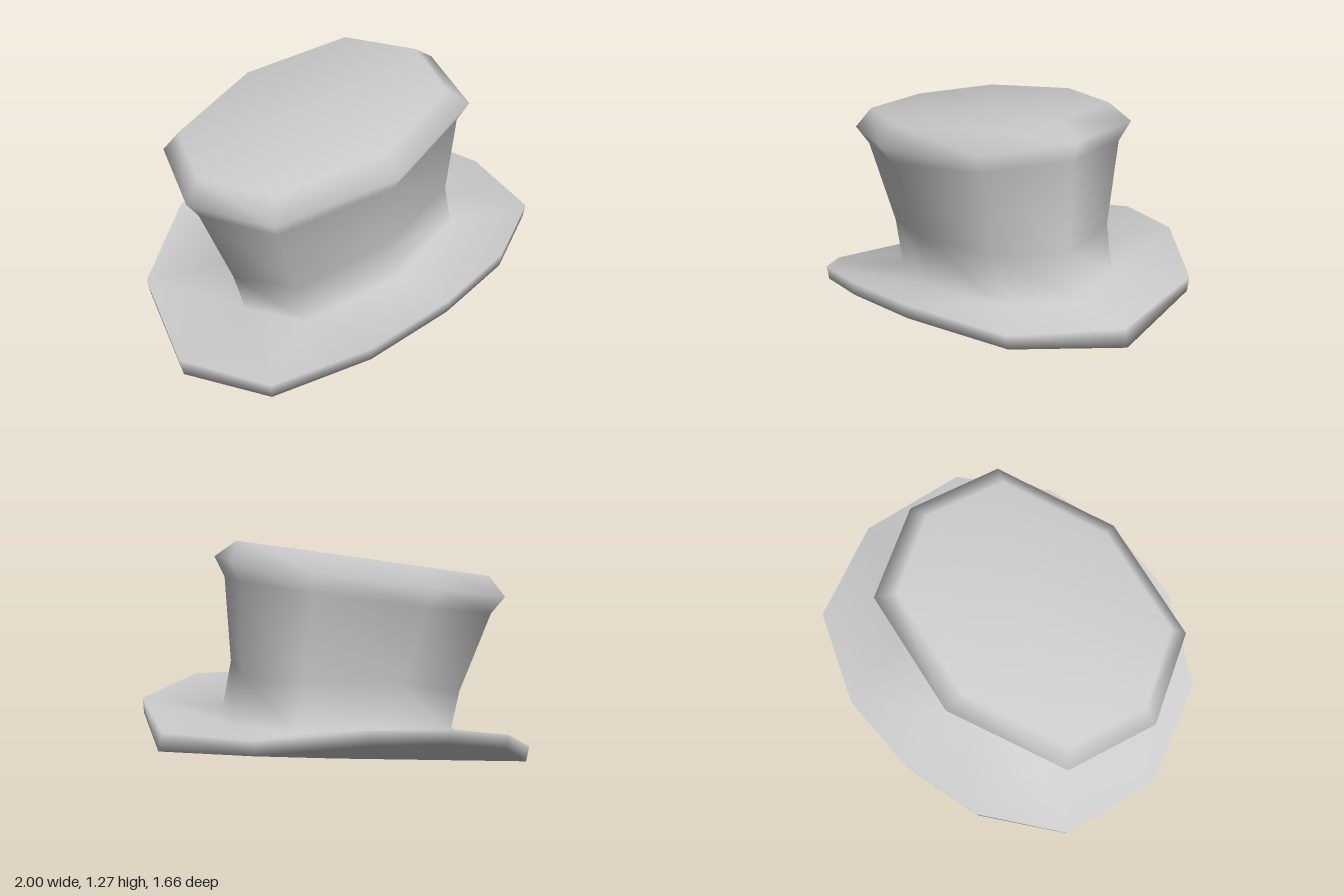
import * as THREE from 'three';

// Eight-sided crown ring: tilted sideways, optionally lifted at front and back
function crownRing(cx, rx, rz, y, lift = 0) {
  const unit = [[1, 0], [0.78, 0.72], [0, 1], [-0.78, 0.72], [-1, 0], [-0.78, -0.72], [0, -1], [0.78, -0.72]];
  return unit.map(([u, w]) => {
    const x = cx + rx * u;
    return [x, y + 0.173 * x + lift * w * w, rz * w];
  });
}

// Twelve-sided brim ring: half an outline mirrored front to back
function brimRing(half) {
  const back = half.slice(1, -1).reverse().map(([x, y, z]) => [x, y, -z]);
  return [...half, ...back];
}

export function createModel() {
  const group = new THREE.Group();
  group.name = 'topHat';
  const felt = new THREE.MeshStandardMaterial({ color: 0xcccccc });
  felt.name = 'grey felt';

  // Cross-sections from the crown top down to the underside
  const sections = [
    [[-0.165, 1.158, 0]],
    crownRing(-0.165, 0.655, 0.51, 1.187),
    crownRing(-0.145, 0.745, 0.6, 1.094),
    crownRing(-0.135, 0.695, 0.535, 1.0),
    crownRing(-0.057, 0.603, 0.455, 0.543, 0.08),
    crownRing(0, 0.6, 0.45, 0.31, 0.06),
    brimRing([[0.98, 0.435, 0], [0.81, 0.48, 0.52], [0.37, 0.512, 0.77], [-0.04, 0.47, 0.83],
      [-0.45, 0.37, 0.77], [-0.84, 0.2, 0.52], [-1, 0.1, 0]]),
    brimRing([[1, 0.35, 0], [0.81, 0.41, 0.51], [0.37, 0.44, 0.76], [-0.04, 0.4, 0.82],
      [-0.45, 0.3, 0.76], [-0.83, 0.12, 0.51], [-0.98, 0, 0]]),
    [[0, 0.155, 0]],
  ];
  const starts = [];
  const points = [];
  for (const s of sections) {
    starts.push(points.length / 3);
    points.push(...s.flat());
  }

  // Join neighbouring sections, whatever their number of corners
  function stitch(from, to) {
    const index = [];
    for (let k = from; k < to; k++) {
      const na = sections[k].length, nb = sections[k + 1].length;
      const a = (i) => starts[k] + (i % na), b = (j) => starts[k + 1] + (j % nb);
      const endA = na > 1 ? na : 0, endB = nb > 1 ? nb : 0;
      let i = 0, j = 0;
      while (i < endA || j < endB) {
        const stepA = j >= endB || (i < endA && (i + 0.5) / na <= (j + 0.5) / nb);
        if (stepA) index.push(a(i), a(++i), b(j));
        else index.push(a(i), b(j + 1), b(j++));
      }
    }
    return index;
  }

  // Normals are shared over the whole hat so crown and brim blend smoothly
  const whole = new THREE.BufferGeometry();
  whole.setAttribute('position', new THREE.Float32BufferAttribute(points, 3));
  whole.setIndex(stitch(0, sections.length - 1));
  whole.computeVertexNormals();

  const addPart = (name, from, to) => {
    const geometry = whole.clone();
    geometry.setIndex(stitch(from, to));
    const mesh = new THREE.Mesh(geometry, felt);
    mesh.name = name;
    group.add(mesh);
  };
  addPart('crown', 0, 5);
  addPart('brim', 5, sections.length - 1);
  return group;
}
